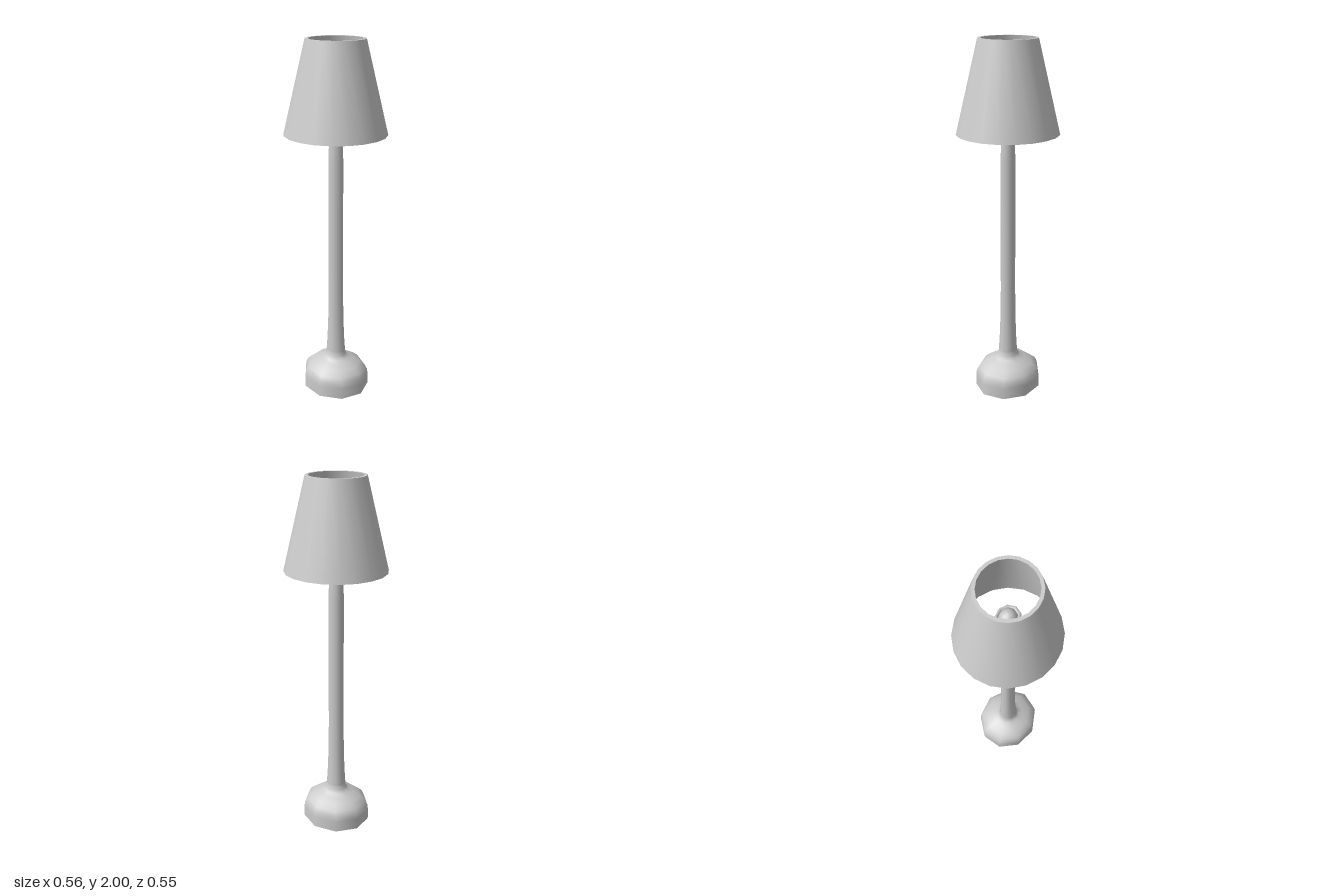
import * as THREE from 'three';

const material = new THREE.MeshStandardMaterial({ color: 0xcccccc });

// Each profile becomes one smooth surface; breaks between profiles stay sharp.
function turned(name, sides, depthScale, profiles) {
  const group = new THREE.Group();
  group.name = name;
  profiles.forEach((profile, i) => {
    const points = profile.map(([r, y]) => new THREE.Vector2(r, y));
    const mesh = new THREE.Mesh(new THREE.LatheGeometry(points, sides, Math.PI / 2), material);
    mesh.name = `${name}Surface${i + 1}`;
    group.add(mesh);
  });
  group.scale.z = depthScale;
  return group;
}

export function createModel() {
  const lamp = new THREE.Group();
  lamp.name = 'tableLamp';

  // Underside with a small cable hole, then the rounded foot
  lamp.add(turned('base', 9, 0.915, [
    [[0, 0.02], [0.011, 0.02]],
    [[0.011, 0.02], [0.011, 0]],
    [[0.011, 0], [0.197, 0]],
    [[0.197, 0], [0.197, 0.065], [0.193, 0.095], [0.178, 0.122], [0.148, 0.147],
      [0.105, 0.17], [0.076, 0.184], [0.062, 0.2], [0.057, 0.225]],
  ]));

  // Slender stem, flaring into the bulb holder inside the shade
  lamp.add(turned('stem', 9, 0.915, [
    [[0.057, 0.225], [0.052, 0.3], [0.047, 0.42], [0.044, 0.6], [0.043, 1.0],
      [0.043, 1.36], [0.04, 1.43], [0.037, 1.49], [0.042, 1.56], [0.054, 1.64],
      [0.064, 1.69], [0.067, 1.705], [0.063, 1.715], [0.053, 1.715], [0.048, 1.7]],
  ]));

  // Domed bulb sitting in the holder
  const dome = [];
  for (let i = 0; i <= 6; i++) {
    const a = (i / 6) * Math.PI / 2;
    dome.push([0.049 * Math.cos(a), 1.7 + 0.055 * Math.sin(a)]);
  }
  lamp.add(turned('bulb', 9, 0.915, [dome]));

  // Open tapered shade with a thick wall
  lamp.add(turned('shade', 20, 0.98, [
    [[0.279, 1.51], [0.159, 2]],
    [[0.159, 2], [0.142, 2]],
    [[0.142, 2], [0.252, 1.51]],
    [[0.252, 1.51], [0.279, 1.51]],
  ]));

  return lamp;
}
